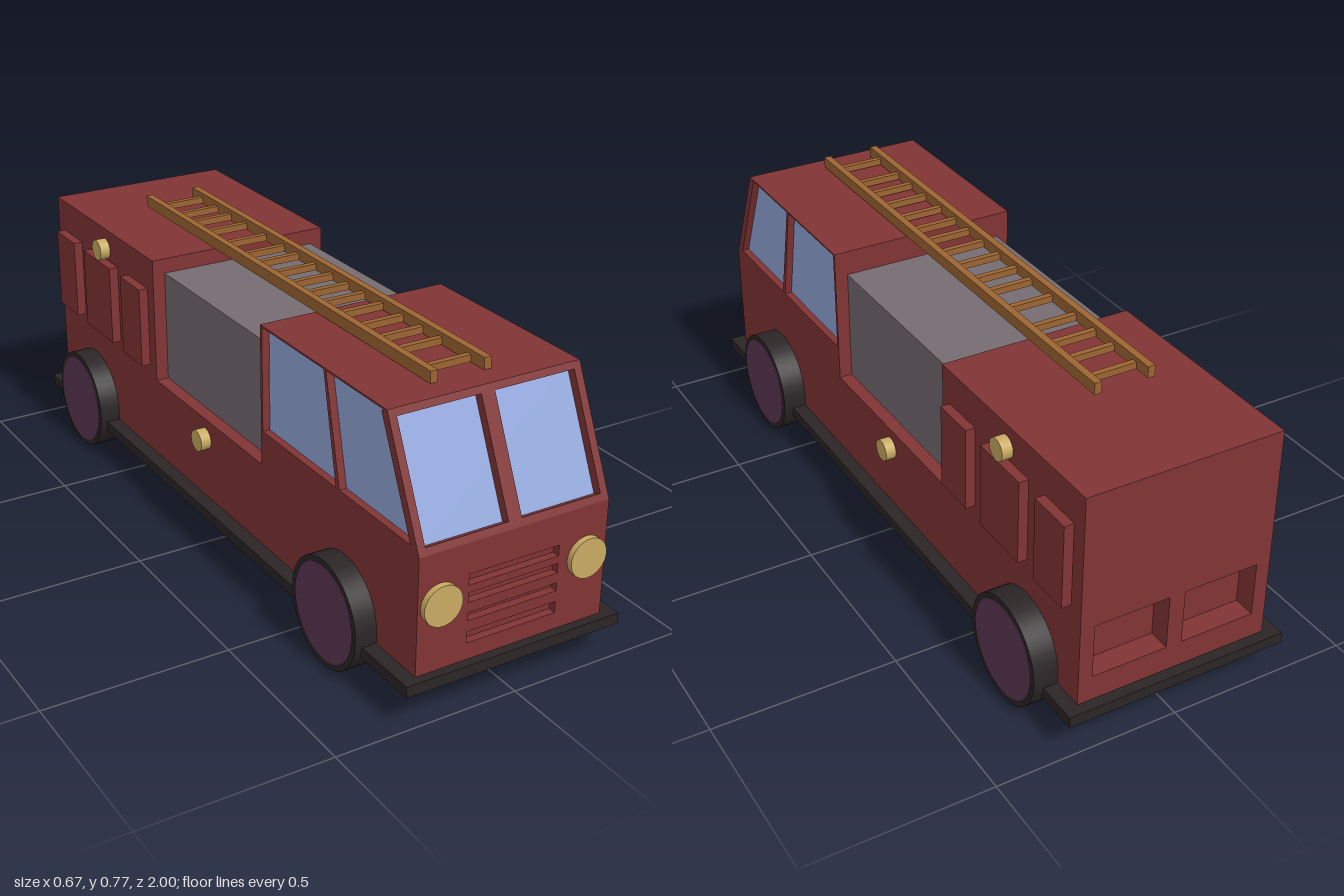
import * as THREE from 'three';

const mat = (color) => new THREE.MeshStandardMaterial({ color });

export function createModel() {
  const model = new THREE.Group();
  model.name = 'fireTruck';
  const truck = new THREE.Group();
  truck.name = 'truck';
  truck.position.x = -0.004;
  model.add(truck);

  const red = mat(0x823434), black = mat(0x2b2526), gold = mat(0xc8aa62);
  const wood = mat(0x9c6532), glass = mat(0x93a8dc), grey = mat(0x756c72), plum = mat(0x5a3654);
  const W = 0.269; // half width of the body

  const add = (name, geometry, material) => {
    const mesh = new THREE.Mesh(geometry, material);
    mesh.name = name;
    truck.add(mesh);
    return mesh;
  };
  // Box given by its limits on each axis
  const box = (name, material, [x0, x1], [y0, y1], [z0, z1]) =>
    add(name, new THREE.BoxGeometry(x1 - x0, y1 - y0, z1 - z0)
      .translate((x0 + x1) / 2, (y0 + y1) / 2, (z0 + z1) / 2), material);
  const shapeOf = (points, holes = []) => {
    const shape = new THREE.Shape(points.map((p) => new THREE.Vector2(...p)));
    for (const h of holes) shape.holes.push(new THREE.Path(h.map((p) => new THREE.Vector2(...p))));
    return shape;
  };
  const rect = (x0, x1, y0, y1) => [[x0, y0], [x1, y0], [x1, y1], [x0, y1]];
  const extrude = (shape, depth) => new THREE.ExtrudeGeometry(shape, { depth, bevelEnabled: false });
  // Side profile of (z, y) points, extruded across x from x0 to x1
  const across = (name, material, points, x0, x1, holes) =>
    add(name, extrude(shapeOf(points, holes), x1 - x0).rotateY(-Math.PI / 2).translate(x1, 0, 0), material);

  // Chassis
  box('chassis', black, [-0.308, 0.308], [0.09, 0.12], [-1, 1]);

  // Body core with a low middle deck
  across('body', red, [
    [-0.91, 0.12], [0.955, 0.12], [0.955, 0.432], [0.27, 0.432],
    [0.27, 0.353], [-0.327, 0.353], [-0.327, 0.71], [-0.91, 0.71],
  ], -W, W);

  // Front panel with grille slots
  const slots = [[0.165, 0.196], [0.225, 0.247], [0.274, 0.3], [0.32, 0.349]];
  add('frontPanel', extrude(shapeOf(rect(-W, W, 0.12, 0.432),
    slots.map(([a, b]) => rect(-0.1285, 0.1285, a, b))), 0.021).translate(0, 0, 0.955), red);

  // Rear panel with two recessed lockers
  add('rearPanel', extrude(shapeOf(rect(-W, W, 0.12, 0.71),
    [rect(-0.23, -0.022, 0.19, 0.34), rect(0.022, 0.23, 0.19, 0.34)]), 0.06).translate(0, 0, -0.97), red);

  // Cab side frames with window openings
  const cab = [[0.27, 0.432], [0.976, 0.432], [0.836, 0.737], [0.27, 0.737]];
  const sideWindows = [
    [[0.643, 0.449], [0.944, 0.449], [0.831, 0.732], [0.579, 0.732]],
    [[0.279, 0.449], [0.627, 0.449], [0.568, 0.732], [0.279, 0.732]],
  ];
  across('cabSideLeft', red, cab, W - 0.02, W, sideWindows);
  across('cabSideRight', red, cab, -W, -W + 0.02, sideWindows);

  // Sloping windscreen frame
  const lean = Math.atan2(0.14, 0.305), slope = Math.hypot(0.14, 0.305);
  add('windscreenFrame', extrude(shapeOf(rect(-W, W, 0, slope),
    [rect(-0.248, -0.019, 0.019, 0.317), rect(0.019, 0.248, 0.019, 0.317)]), 0.025)
    .translate(0, 0, -0.025).rotateX(-lean).translate(0, 0.432, 0.976), red);

  // Cab glass, roof and back wall
  across('cabGlass', glass, [[0.275, 0.432], [0.9485, 0.432], [0.814, 0.725], [0.275, 0.725]], -0.249, 0.249);
  across('cabRoof', red, [[0.27, 0.724], [0.836, 0.724], [0.8355, 0.737], [0.27, 0.737]], -0.2495, 0.2495);
  box('cabBackWall', red, [-0.2495, 0.2495], [0.43, 0.73], [0.27, 0.28]);

  // Water tank between cab and rear body
  box('waterTank', grey, [-0.233, 0.233], [0.35, 0.668], [-0.33, 0.273]);

  // Wheels: full-width rollers with hub discs
  for (const [name, z] of [['front', 0.67], ['rear', -0.74]]) {
    add(name + 'Wheels', new THREE.CylinderGeometry(0.145, 0.145, 0.664, 40).rotateZ(Math.PI / 2)
      .translate(0.004, 0.145, z), black);
    add(name + 'Hubs', new THREE.CylinderGeometry(0.13, 0.13, 0.667, 40).rotateZ(Math.PI / 2)
      .translate(0.004, 0.145, z), plum);
  }

  for (const s of [-1, 1]) {
    const side = s > 0 ? 'Left' : 'Right';
    // Headlights
    add('headlight' + side, new THREE.CylinderGeometry(0.053, 0.053, 0.024, 32).rotateX(Math.PI / 2)
      .translate(s * 0.208, 0.298, 0.98), gold);
    // Raised locker doors
    for (const [z0, z1] of [[-0.488, -0.365], [-0.735, -0.558], [-0.928, -0.804]]) {
      box('lockerDoor' + side, red, [s * 0.28 - 0.015, s * 0.28 + 0.015], [0.388, 0.617], [z0, z1]);
    }
    // Side lamps
    for (const [y, z] of [[0.65, -0.635], [0.296, -0.035]]) {
      add('sideLamp' + side, new THREE.CylinderGeometry(0.03, 0.03, 0.04, 24).rotateZ(Math.PI / 2)
        .translate(s * 0.278, y, z), gold);
    }
    // Ladder rails
    const x = -0.031 + s * 0.075;
    box('ladderRail' + side, wood, [x - 0.01, x + 0.01], [0.742, 0.773], [-0.67, 0.78]);
  }

  // Ladder rungs, unevenly spaced
  const rungs = [-0.614, -0.519, -0.439, -0.349, -0.238, -0.138, -0.063, 0.026,
    0.111, 0.19, 0.265, 0.349, 0.439, 0.524, 0.603, 0.72];
  for (const z of rungs) box('ladderRung', wood, [-0.1, 0.038], [0.743, 0.761], [z - 0.008, z + 0.008]);

  return model;
}
